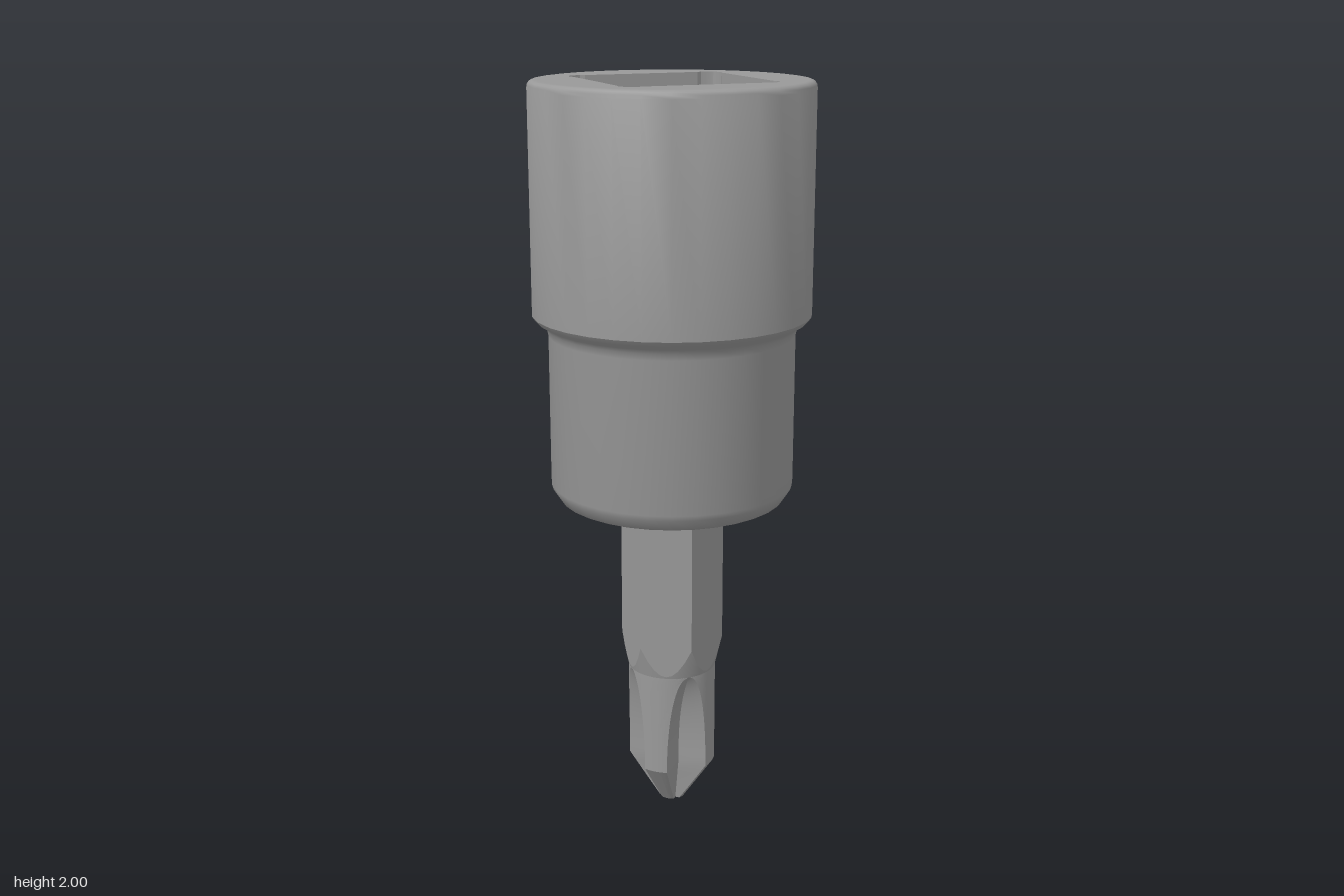
import * as THREE from 'three';
import { toCreasedNormals } from 'three/addons/utils/BufferGeometryUtils.js';

const V = (x, y) => new THREE.Vector2(x, y);
const lerp = THREE.MathUtils.lerp;

// Skin closed rings of [x, y, z]; rings from bottom to top face outwards, from top to bottom inwards
function loft(rings, crease) {
  const n = rings[0].length, index = [];
  for (let i = 0; i < rings.length - 1; i++) {
    for (let j = 0; j < n; j++) {
      const k = (j + 1) % n;
      const a = i * n + j, b = i * n + k, c = b + n, d = a + n;
      index.push(a, d, b, b, d, c);
    }
  }
  const g = new THREE.BufferGeometry();
  g.setAttribute('position', new THREE.Float32BufferAttribute(rings.flat(2), 3));
  g.setIndex(index);
  return toCreasedNormals(g, crease);
}

// Square drive outline, turned 45 degrees, with small relieved corners
function squareOutline() {
  const corner = [[0.258, -0.034], [0.27, -0.029], [0.281, -0.015], [0.286, 0], [0.281, 0.015], [0.27, 0.029], [0.258, 0.034]];
  const pts = [];
  for (let q = 0; q < 4; q++) {
    const c = Math.round(Math.cos(q * Math.PI / 2)), s = Math.round(Math.sin(q * Math.PI / 2));
    corner.forEach(([x, y]) => pts.push(V(x * c - y * s, x * s + y * c)));
  }
  return pts;
}

function circleOutline(r, n) {
  return Array.from({ length: n }, (_, i) => V(r * Math.cos(i / n * 2 * Math.PI), r * Math.sin(i / n * 2 * Math.PI)));
}

// Horizontal face with a hole, facing up
function ringFace(outer, hole, y) {
  const s = new THREE.Shape(outer);
  s.holes.push(new THREE.Path(hole));
  return new THREE.ShapeGeometry(s).rotateX(-Math.PI / 2).translate(0, y, 0);
}

// One cross-section of the cross tip: four wings with a valley between each pair
function tipRing(y, R, w, v) {
  const ring = [], half = Math.asin(Math.min(w / R, Math.SQRT1_2));
  for (let q = 0; q < 4; q++) {
    const turn = q * Math.PI / 2;
    for (let k = -6; k <= 6; k++) {
      const a = turn + half * k / 6;
      ring.push([R * Math.cos(a), y, R * Math.sin(a)]);
    }
    const a = turn + Math.PI / 4, r = v * Math.SQRT2;
    ring.push([r * Math.cos(a), y, r * Math.sin(a)]);
  }
  return ring;
}

export function createModel() {
  const model = new THREE.Group();
  const material = new THREE.MeshStandardMaterial({ color: 0x999999 });
  const add = (name, geometry, parent = model) => {
    const m = new THREE.Mesh(geometry, material);
    m.name = name;
    parent.add(m);
  };

  // Socket: stepped round body with a square drive hole
  const socket = new THREE.Group();
  socket.name = 'socket';
  model.add(socket);
  const seg = 32;
  const body = [
    V(0, 0.9), V(0.292, 0.9), V(0.302, 0.905), V(0.321, 0.934), V(0.325, 0.948),
    V(0.325, 1.35), V(0.329, 1.368), V(0.338, 1.38), V(0.358, 1.392), V(0.367, 1.405),
    V(0.367, 1.98), V(0.3655, 1.988), V(0.361, 1.995), V(0.355, 1.999), V(0.347, 2), V(0.34, 2),
  ];
  add('socketBody', toCreasedNormals(new THREE.LatheGeometry(body, seg), 0.6), socket);
  const square = squareOutline(), floorY = 1.48;
  add('socketRim', ringFace(circleOutline(0.34, seg), square, 2), socket);
  add('driveHoleWalls', loft([2, floorY].map(y => square.map(p => [p.x, y, p.y])), 0.35), socket);
  add('driveHoleFloor', ringFace(square, circleOutline(0.203, 24), floorY), socket);
  const bore = [V(0.203, floorY), V(0.203, 1.4), V(0.1, 1.4), V(0.1, 1.3), V(0, 1.3)];
  add('bore', toCreasedNormals(new THREE.LatheGeometry(bore, 24), 0.6), socket);

  // Hexagonal shank; a cone cuts its lower end in scallops
  const coneBottom = 0.41, tipRadius = 0.12;
  const shankRing = (yAt, round) => Array.from({ length: 48 }, (_, i) => {
    const a = i / 48 * 2 * Math.PI;
    const fromFlat = ((i * 7.5 + 15) % 60 - 30) * Math.PI / 180;
    const hex = 0.1212 / Math.cos(fromFlat);
    const r = round ? tipRadius : hex;
    return [r * Math.cos(a), yAt(hex), r * Math.sin(a)];
  });
  const scallop = hex => coneBottom + (hex - tipRadius) * 4.3;
  add('hexShank', loft([
    shankRing(() => coneBottom, true), shankRing(scallop, false), shankRing(() => 0.91, false),
  ], 0.2));

  // Cross tip: pointed end, then flutes that run out in rounded arches
  const pointTop = 0.125, wing = 0.033, valley = 0.034, full = tipRadius * Math.SQRT1_2;
  const tip = [tipRing(0, 0.035, 0.018, 0.018).map(() => [0, 0, 0])];
  for (let i = 0; i < 4; i++) {
    const t = i / 4;
    tip.push(tipRing(pointTop * t, lerp(0.035, tipRadius, t), lerp(0.018, wing, t), lerp(0.018, valley, t)));
  }
  for (let i = 0; i <= 16; i++) {
    const u = i / 16 * Math.PI / 2, t = Math.sin(u);
    tip.push(tipRing(lerp(pointTop, coneBottom, t), tipRadius, lerp(wing, full, 1 - Math.cos(u)), lerp(valley, full, t ** 2.6)));
  }
  add('crossTip', loft(tip, 0.5));

  return model;
}
